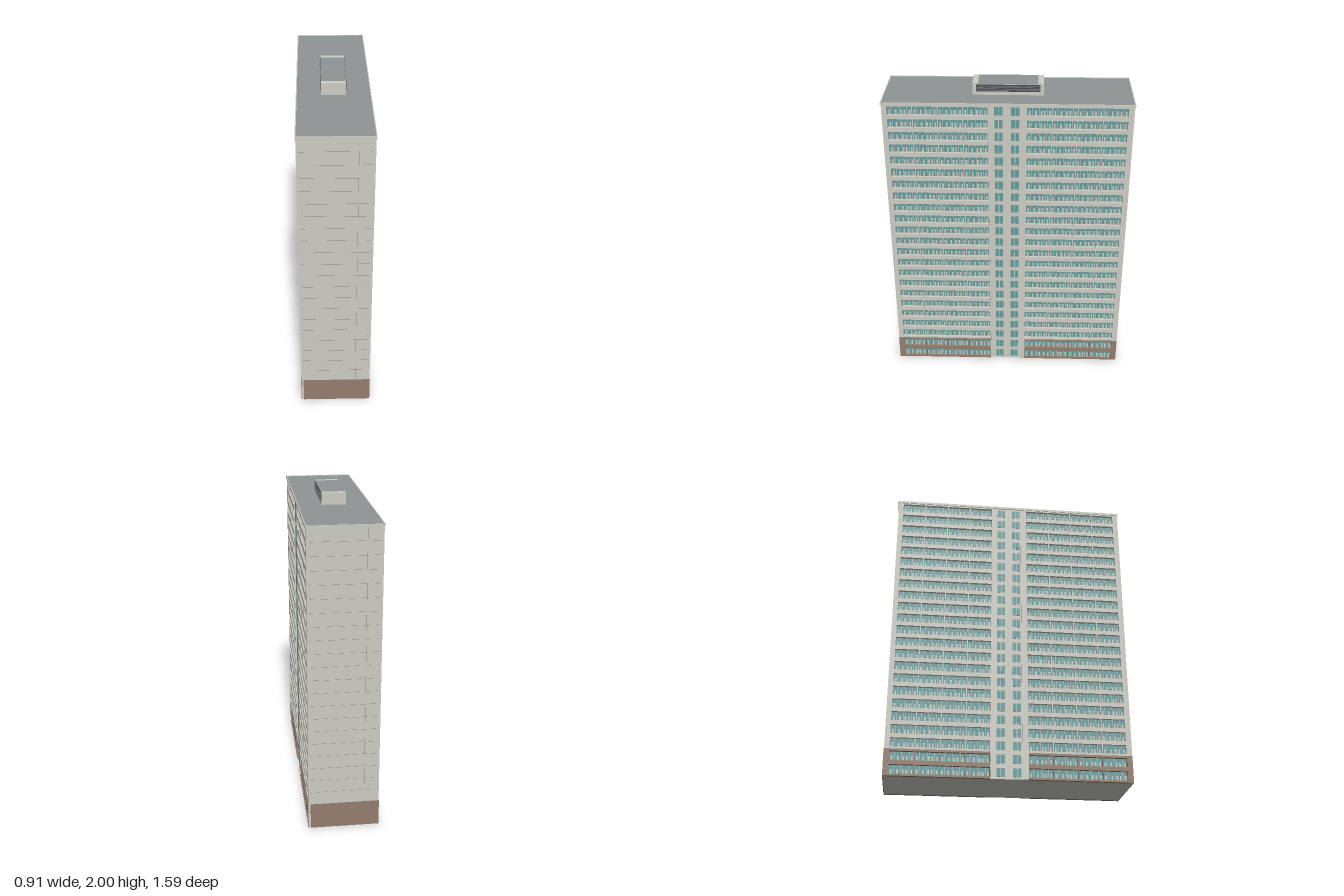
import * as THREE from 'three';
import { mergeGeometries } from 'three/addons/utils/BufferGeometryUtils.js';

const FLOORS = 23, H = 1.92 / FLOORS;      // storeys and storey height
const HX = 0.22, HZ = 0.757;               // half width and half length of the slab block
const GLASS_X = 0.202;                     // recessed glazing plane
const BAY_END = 0.725, CORE_A = 0.118, CORE_B = -0.116;

function material(name, color) {
  const m = new THREE.MeshStandardMaterial({ color });
  m.name = name;
  return m;
}

// Box from its limits on each axis
function box(x0, x1, y0, y1, z0, z1) {
  return new THREE.BoxGeometry(x1 - x0, y1 - y0, z1 - z0)
    .translate((x0 + x1) / 2, (y0 + y1) / 2, (z0 + z1) / 2);
}

function addMesh(parent, name, mat, boxes) {
  const mesh = new THREE.Mesh(mergeGeometries(boxes), mat);
  mesh.name = name;
  parent.add(mesh);
}

export function createModel() {
  const concrete = material('pale concrete', 0xcdccc3);
  const brown = material('brown cladding', 0x957d6e);
  const glass = material('teal glass', 0x669c9e);
  const roofGrey = material('roof grey', 0x8f9594);
  const dark = material('dark louvre', 0x4b4d4e);
  const joint = material('panel joint', 0x85878a);

  const model = new THREE.Group();
  model.name = 'towerBlock';
  const tower = new THREE.Group();
  tower.name = 'tower';
  tower.rotation.y = -Math.atan(1 / 3);
  model.add(tower);

  // Solid body behind the bays, with full-width end walls
  const top = FLOORS * H;
  addMesh(tower, 'body', concrete, [
    box(-0.2, 0.2, 0, top, -BAY_END, BAY_END),
    box(-HX, HX, 0, top, BAY_END, HZ),
    box(-HX, HX, 0, top, -HZ, -BAY_END),
  ]);

  // One long facade and one end, repeated with a half turn
  for (const turn of [0, Math.PI]) {
    const half = new THREE.Group();
    half.name = turn ? 'leftAndBackWalls' : 'rightAndFrontWalls';
    half.rotation.y = turn;
    tower.add(half);

    const panes = [], upperFrame = [], baseFrame = [], mullions = [], coreGlass = [], joints = [];
    for (let k = 0; k < FLOORS; k++) {
      const y = k * H;
      const frame = k < 2 ? baseFrame : upperFrame;
      for (const [z0, z1] of [[CORE_A, BAY_END], [-BAY_END, CORE_B]]) {
        const bay = (z1 - z0) / 4;
        // Floor and head bands, and glazing across the section
        frame.push(box(0.199, HX, y, y + 0.013, z0, z1));
        frame.push(box(0.199, HX, y + H - 0.014, y + H, z0, z1));
        panes.push(box(0.199, GLASS_X, y + 0.013, y + H - 0.014, z0, z1));
        for (let b = 0; b < 4; b++) {
          const z = z0 + b * bay;
          // Fins between bays
          frame.push(box(0.199, HX, y + 0.013, y + H - 0.014, z - 0.003, z + 0.003));
          // Posts and low panels of the loggias
          for (const t of [0.2, 0.5, 0.8])
            mullions.push(box(0.2, 0.206, y + 0.013, y + H - 0.014, z + t * bay - 0.0015, z + t * bay + 0.0015));
          for (const t of [0.1, 0.3, 0.43, 0.65, 0.9])
            mullions.push(box(0.2, 0.208, y + 0.013, y + 0.043, z + t * bay - 0.005, z + t * bay + 0.005));
        }
      }
      // Paired windows of the stair core
      for (const z of [0.055, -0.045])
        for (const s of [-1, 1])
          coreGlass.push(box(0.21, 0.2135, y + 0.014, y + H - 0.015, z + s * 0.0135 - 0.0115, z + s * 0.0135 + 0.0115));
      // Horizontal joints of the end wall
      if (k > 2) joints.push(box(-0.206, 0.2, y - 0.0007, y + 0.0007, HZ - 0.001, HZ + 0.0006));
    }
    joints.push(box(0.1265, 0.1279, 2 * H, top, HZ - 0.001, HZ + 0.0006));

    addMesh(half, 'bayGlazing', glass, panes);
    addMesh(half, 'bayFrames', concrete, upperFrame);
    addMesh(half, 'baseBayFrames', brown, baseFrame);
    addMesh(half, 'loggiaPanels', concrete, mullions);
    addMesh(half, 'stairCore', concrete, [
      box(0.199, 0.212, 0, top, -0.077, CORE_A),
      box(0.199, HX, 0, top, CORE_B, -0.077),
      box(0.199, HX, 0, top, CORE_A - 0.003, CORE_A + 0.003),
    ]);
    addMesh(half, 'stairWindows', glass, coreGlass);
    addMesh(half, 'endWallJoints', joint, joints);

    // Brown base cladding on the end wall and corner piers
    addMesh(half, 'baseCladding', brown, [
      box(-0.206, HX + 0.002, 0, 2 * H, HZ - 0.002, HZ + 0.002),
      box(HX - 0.002, HX + 0.002, 0, 2 * H, BAY_END, HZ),
      box(HX - 0.002, HX + 0.002, 0, 2 * H, -HZ, -BAY_END),
    ]);
  }

  // Roof slab and low parapet rim
  const rx = HX + 0.004, rz = HZ + 0.004, rim = 0.006;
  addMesh(tower, 'roof', roofGrey, [box(-rx + rim, rx - rim, top, 1.926, -rz + rim, rz - rim)]);
  addMesh(tower, 'parapet', concrete, [-1, 1].flatMap((s) => [
    box(s * (rx - rim / 2) - rim / 2, s * (rx - rim / 2) + rim / 2, 1.914, 1.93, -rz, rz),
    box(-rx, rx, 1.914, 1.93, s * (rz - rim / 2) - rim / 2, s * (rz - rim / 2) + rim / 2),
  ]));

  // Rooftop plant room: pale ends and frames, grey roof, louvred sides
  const plant = new THREE.Group();
  plant.name = 'plantRoom';
  tower.add(plant);
  const px = 0.074, pz = 0.217, pe = 0.183;
  addMesh(plant, 'plantWalls', concrete, [
    box(-px, px, 1.92, 2, pe, pz),
    box(-px, px, 1.92, 2, -pz, -pe),
    box(-px, px, 1.92, 1.996, -pe, pe),
  ]);
  addMesh(plant, 'plantRoof', roofGrey, [box(-px, px, 1.995, 2, -pe, pe)]);
  const slats = [], louvres = [];
  for (const s of [-1, 1]) {
    louvres.push(box(s * px - 0.002, s * px + 0.002, 1.948, 1.992, -0.196, 0.196));
    for (let i = 1; i < 5; i++) {
      const y = 1.948 + i * 0.0088;
      slats.push(box(s * px - 0.004, s * px + 0.004, y - 0.001, y + 0.001, -0.196, 0.196));
    }
  }
  addMesh(plant, 'louvres', dark, louvres);
  addMesh(plant, 'louvreSlats', joint, slats);

  return model;
}
